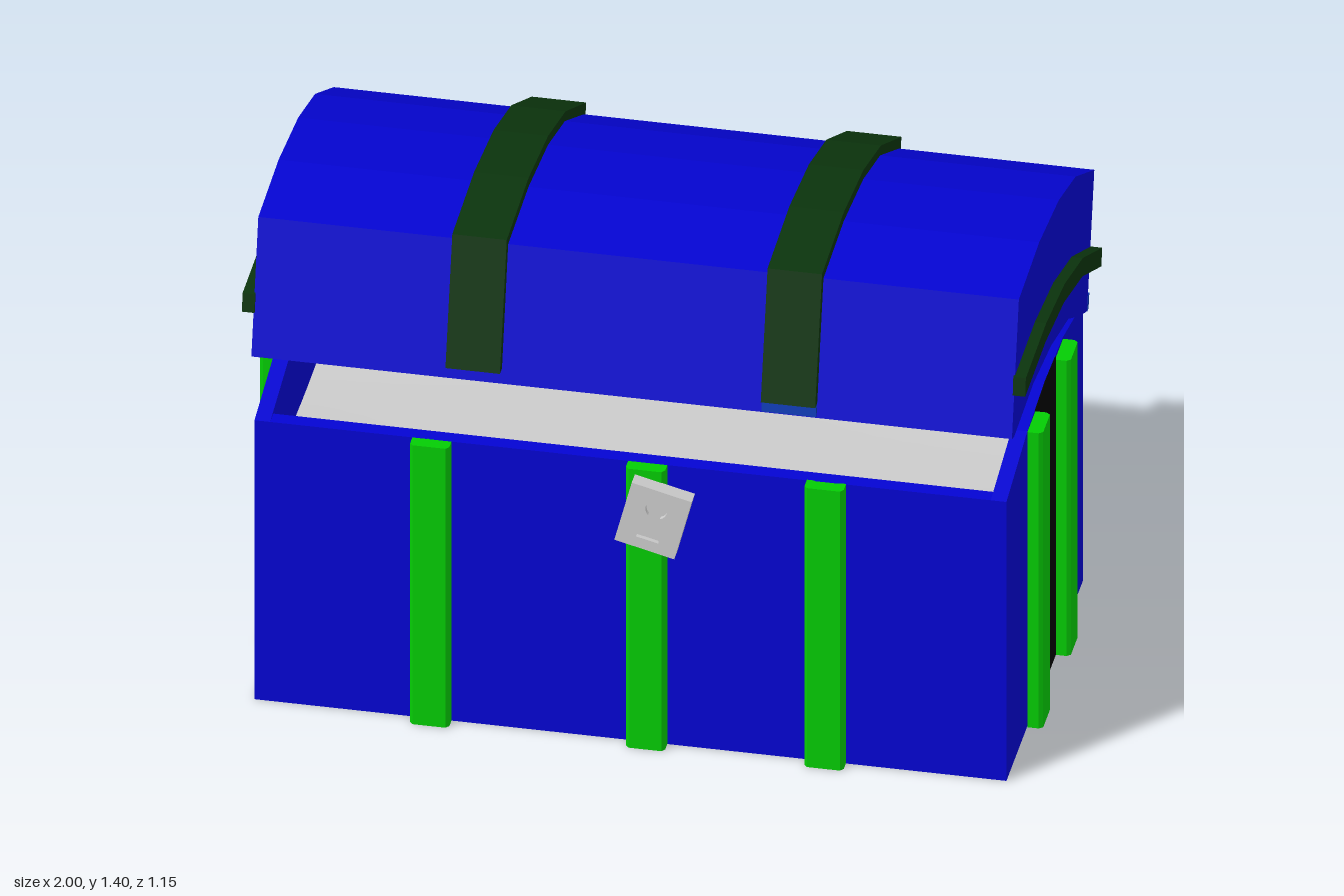
import * as THREE from 'three';

const mat = (color) => new THREE.MeshStandardMaterial({ color, flatShading: true });

export function createModel() {
  const chest = new THREE.Group();
  chest.name = 'chest';
  const blue = mat(0x0404d2), green = mat(0x04cc04), darkGreen = mat(0x0b340d);
  const black = mat(0x020202), paleBlue = mat(0x0638b0), grey = mat(0xcccccc);

  const add = (parent, name, geometry, material) => {
    const mesh = new THREE.Mesh(geometry, material);
    mesh.name = name;
    parent.add(mesh);
    return mesh;
  };
  const shapeOf = (pts) => new THREE.Shape(pts.map(([a, b]) => new THREE.Vector2(a, b)));
  // Side profile of [z, y] points, extruded from x0 to x1
  const extrudeX = (pts, x0, x1) =>
    new THREE.ExtrudeGeometry(shapeOf(pts), { depth: x1 - x0, bevelEnabled: false })
      .rotateY(-Math.PI / 2).translate(x1, 0, 0);
  // Strip between two open profiles
  const band = (outer, inner, x0, x1) => extrudeX([...outer, ...[...inner].reverse()], x0, x1);
  const box = (x0, x1, y0, y1, z0, z1) =>
    new THREE.BoxGeometry(x1 - x0, y1 - y0, z1 - z0)
      .translate((x0 + x1) / 2, (y0 + y1) / 2, (z0 + z1) / 2);

  // Body: thin walls open at the bottom, with a thick rim above the contents
  const body = new THREE.Group();
  body.name = 'body';
  chest.add(body);
  const level = 0.64, top = 0.825, front = 0.502, back = -0.46;
  add(body, 'frontWall', box(-0.96, 0.96, 0, level, front - 0.008, front), blue);
  add(body, 'backWall', box(-0.96, 0.96, 0, level, back, back + 0.008), blue);
  add(body, 'frontRim', box(-0.96, 0.96, level, top, front - 0.04, front), blue);
  add(body, 'backRim', box(-0.96, 0.96, level, top, back, back + 0.04), blue);
  const arch = [[front, top], [0.24, 0.872], [0.02, 0.886], [-0.2, 0.876], [-0.37, 0.84], [back, 0.805]];
  const endRim = [[back, level], [front, level], ...arch];
  for (const [side, x, inner] of [['left', 0.96, -1], ['right', -0.96, 1]]) {
    const span = (t) => [Math.min(x, x + inner * t), Math.max(x, x + inner * t)];
    add(body, side + 'EndWall', box(...span(0.008), 0, level, back, front), blue);
    add(body, side + 'EndRim', extrudeX(endRim, ...span(0.04)), blue);
  }
  add(body, 'endPanel',
    extrudeX([[-0.105, 0], [0.145, 0], [0.145, 0.877], [0.02, 0.886], [-0.105, 0.88]], 0.958, 0.963), black);

  // Contents: a thin sheet that lifts gently towards the corners
  const sheet = new THREE.PlaneGeometry(1.91, 0.952, 24, 12).rotateX(-Math.PI / 2);
  const p = sheet.attributes.position;
  for (let i = 0; i < p.count; i++)
    p.setY(i, 0.04 * (p.getX(i) * p.getZ(i) / (0.955 * 0.476)) ** 2);
  sheet.translate(0, level, 0.021).computeVertexNormals();
  add(body, 'contents', sheet, new THREE.MeshStandardMaterial({ color: 0xcccccc, side: THREE.DoubleSide }));

  // Upright slats with softened edges; the foot pokes through to the inside
  const section = [[-0.05, 0.002], [-0.05, -0.027], [-0.042, -0.037],
    [0.042, -0.037], [0.05, -0.027], [0.05, 0.002]];
  const slat = (name, x, z, turn, height) => {
    const group = new THREE.Group();
    group.name = name;
    group.position.set(x, 0, z);
    group.rotation.y = turn;
    body.add(group);
    add(group, 'slatBar', new THREE.ExtrudeGeometry(shapeOf(section), { depth: height, bevelEnabled: false })
      .rotateX(-Math.PI / 2), green);
    add(group, 'slatFoot', box(-0.046, 0.046, 0, 0.06, -0.022, 0), green);
  };
  for (const x of [-0.507, 0.044, 0.5]) {
    slat('frontSlat', x, front - 0.001, 0, top);
    slat('backSlat', x, back + 0.001, Math.PI, top);
  }
  for (const z of [0.195, -0.152]) {
    slat('leftEndSlat', 0.963, z, Math.PI / 2, 0.873);
    slat('rightEndSlat', -0.963, z, -Math.PI / 2, 0.873);
  }

  // Lid: hollow faceted vault, swung open about the back edge
  const lid = new THREE.Group();
  lid.name = 'lid';
  chest.add(lid);
  const vault = [[0.487, 1.003], [0.4, 1.362], [0.145, 1.374], [-0.1, 1.347],
    [-0.31, 1.287], [-0.545, 1.162], [-0.455, 0.8]];
  const inside = vault.map(([z, y], i) =>
    i === 0 ? [0.46, 0.995] : i === 6 ? [-0.43, 0.81] : [z * 0.94, y - 0.025]);
  add(lid, 'lidShell', band(vault, inside, -0.97, 0.97), blue);
  const lidEnd = [...vault, [-0.36, 0.843], [-0.22, 0.922], [0, 0.977], [0.22, 1.002], [0.46, 0.993]];
  add(lid, 'leftLidEnd', extrudeX(lidEnd, 0.945, 0.971), blue);
  add(lid, 'rightLidEnd', extrudeX(lidEnd, -0.971, -0.945), blue);
  add(lid, 'backLip',
    extrudeX([[-0.453, 0.8], [-0.468, 0.8], [-0.478, 0.84], [-0.463, 0.84]], -0.972, 0.972), paleBlue);
  add(lid, 'frontLip',
    extrudeX([[0.486, 1.006], [0.495, 1.01], [0.488, 1.045], [0.476, 1.045]], 0.333, 0.472), paleBlue);

  // Straps over the lid
  const strapOuter = [[0.504, 1.042], [0.418, 1.385], [0.145, 1.4], [-0.1, 1.373],
    [-0.32, 1.31], [-0.577, 1.177], [-0.48, 0.797]];
  const strapInner = [[0.477, 1.042], ...vault.slice(1)];
  for (const [x0, x1] of [[-0.472, -0.333], [0.333, 0.472]])
    add(lid, 'lidStrap', band(strapOuter, strapInner, x0, x1), darkGreen);

  // Curved straps on the lid ends
  const endTop = [[0.455, 1.167], [0.2, 1.172], [-0.03, 1.146], [-0.26, 1.081], [-0.5, 0.963]];
  const endBottom = endTop.map(([z, y]) => [z + 0.008, y - 0.05]);
  add(lid, 'leftEndStrap', band(endTop, endBottom, 0.968, 1.0), darkGreen);
  add(lid, 'rightEndStrap', band(endTop, endBottom, -1.0, -0.968), darkGreen);

  // Crooked padlock plate with a sunken keyhole
  const lock = new THREE.Group();
  lock.name = 'lock';
  lock.position.set(0.073, 0.704, 0.537);
  lock.rotation.z = -0.25;
  chest.add(lock);
  const plate = shapeOf([[-0.079, -0.09], [0.079, -0.09], [0.079, 0.09], [-0.079, 0.09]]);
  const keyhole = new THREE.Path();
  keyhole.moveTo(-0.03, -0.06);
  keyhole.lineTo(0.03, -0.06);
  keyhole.lineTo(0.015, 0.01);
  keyhole.absarc(0, 0.035, 0.028, -0.95, Math.PI + 0.95, false);
  keyhole.closePath();
  plate.holes.push(keyhole);
  add(lock, 'lockFace',
    new THREE.ExtrudeGeometry(plate, { depth: 0.012, bevelEnabled: false, curveSegments: 10 })
      .translate(0, 0, 0.029), grey);
  add(lock, 'lockBack', box(-0.079, 0.079, -0.09, 0.09, 0, 0.029), grey);

  return chest;
}
